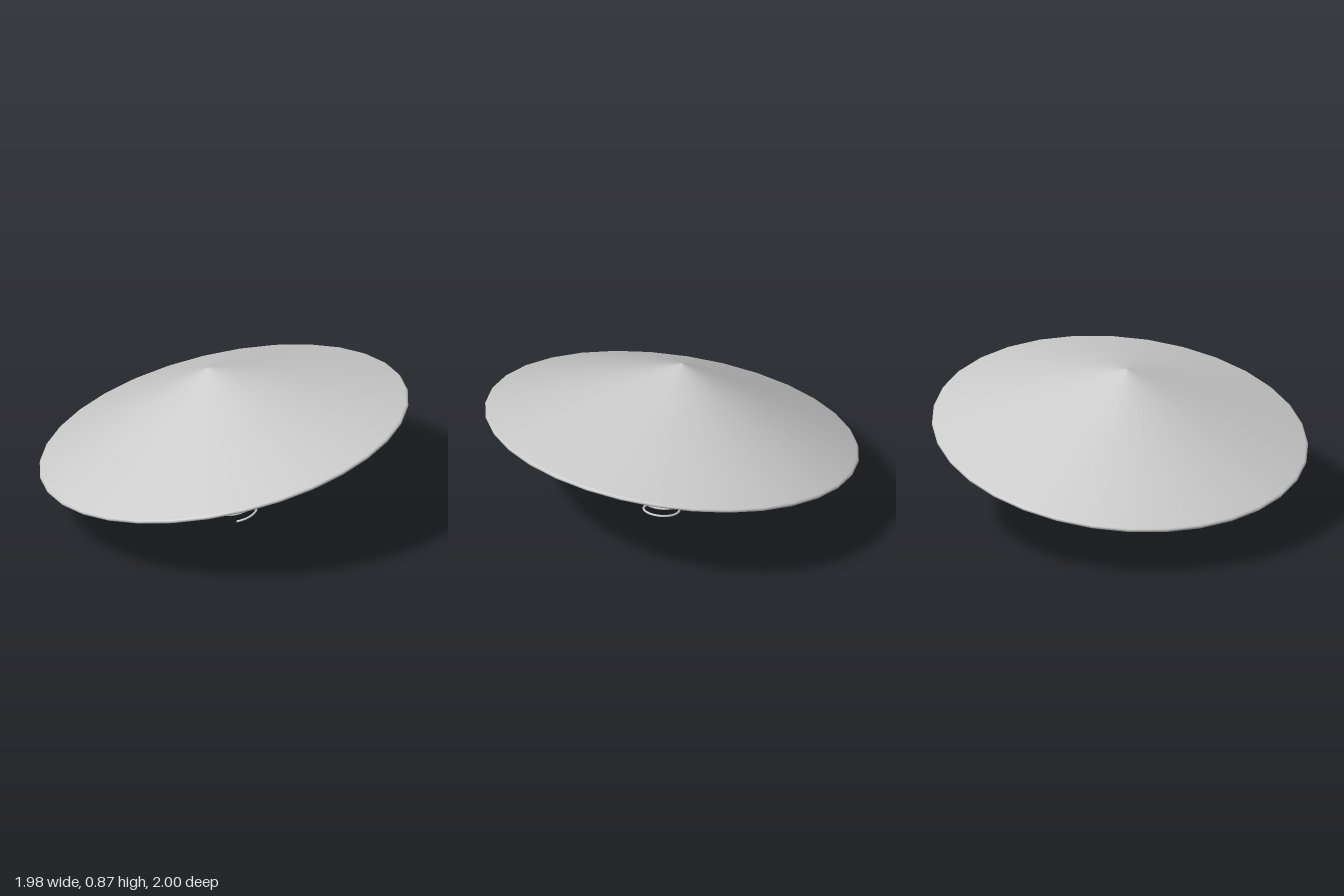
import * as THREE from 'three';

const grey = new THREE.MeshStandardMaterial({ color: 0xcccccc, side: THREE.DoubleSide });

// Lathe whose profile is split into strips, so edges between strips stay sharp
function turned(name, strips, sides) {
  const group = new THREE.Group();
  group.name = name;
  strips.forEach((pts, i) => {
    const profile = pts.map(([r, y]) => new THREE.Vector2(r, y));
    const mesh = new THREE.Mesh(new THREE.LatheGeometry(profile, sides), grey);
    mesh.name = name + 'Surface' + (i + 1);
    group.add(mesh);
  });
  return group;
}

// Wire spiral rising from its free lower end
class Helix extends THREE.Curve {
  constructor(radius, bottom, top, turns, start) {
    super();
    Object.assign(this, { radius, bottom, top, turns, start });
  }
  getPoint(t, target = new THREE.Vector3()) {
    const a = this.start - t * this.turns * Math.PI * 2;
    return target.set(
      this.radius * Math.cos(a),
      this.bottom + (this.top - this.bottom) * t,
      this.radius * Math.sin(a)
    );
  }
}

export function createModel() {
  const model = new THREE.Group();
  model.name = 'pendantLamp';

  // Everything hangs on one tilted axis; local y = 0 is the shade rim
  const tilted = new THREE.Group();
  tilted.name = 'tiltedLamp';
  tilted.position.y = 0.48;
  tilted.quaternion.setFromUnitVectors(
    new THREE.Vector3(0, 1, 0),
    new THREE.Vector3(-0.178, 1, 0.117).normalize()
  );
  model.add(tilted);

  // Thin conical shade: inside, small rounded lip, outside
  tilted.add(turned('shade', [
    [[0, 0.39], [0.985, 0]],
    [[0.985, 0], [0.992, -0.008], [1.001, -0.008], [1.006, 0], [1.003, 0.008], [0.995, 0.012]],
    [[0.995, 0.012], [0.5, 0.207], [0, 0.403]],
  ], 32));

  // Tapered socket cup with chamfered lower edge and a recess for the bulb
  tilted.add(turned('socket', [
    [[0.09, -0.02], [0.115, -0.09]],
    [[0.115, -0.09], [0.133, -0.055]],
    [[0.133, -0.055], [0.128, 0.03], [0.118, 0.12], [0.102, 0.22], [0.08, 0.34], [0.06, 0.372]],
    [[0.06, 0.372], [0, 0.372]],
  ], 32));

  // Lower fitting: domed cylinder, with the spring below it
  const fitting = new THREE.Group();
  fitting.name = 'lowerFitting';
  fitting.position.set(-0.01, 0, 0.012);
  tilted.add(fitting);

  const dome = [[0.105, -0.15]];
  for (let i = 1; i <= 8; i++) {
    const a = (i / 8) * Math.PI / 2;
    dome.push([0.105 * Math.cos(a), -0.15 + 0.11 * Math.sin(a)]);
  }
  fitting.add(turned('domedCylinder', [
    [[0, -0.287], [0.105, -0.287]],
    [[0.105, -0.287], ...dome],
  ], 32));

  const spring = new THREE.Mesh(
    new THREE.TubeGeometry(new Helix(0.096, -0.472, -0.285, 4.4, Math.PI / 3), 160, 0.006, 8, false),
    grey
  );
  spring.name = 'spring';
  fitting.add(spring);

  return model;
}
